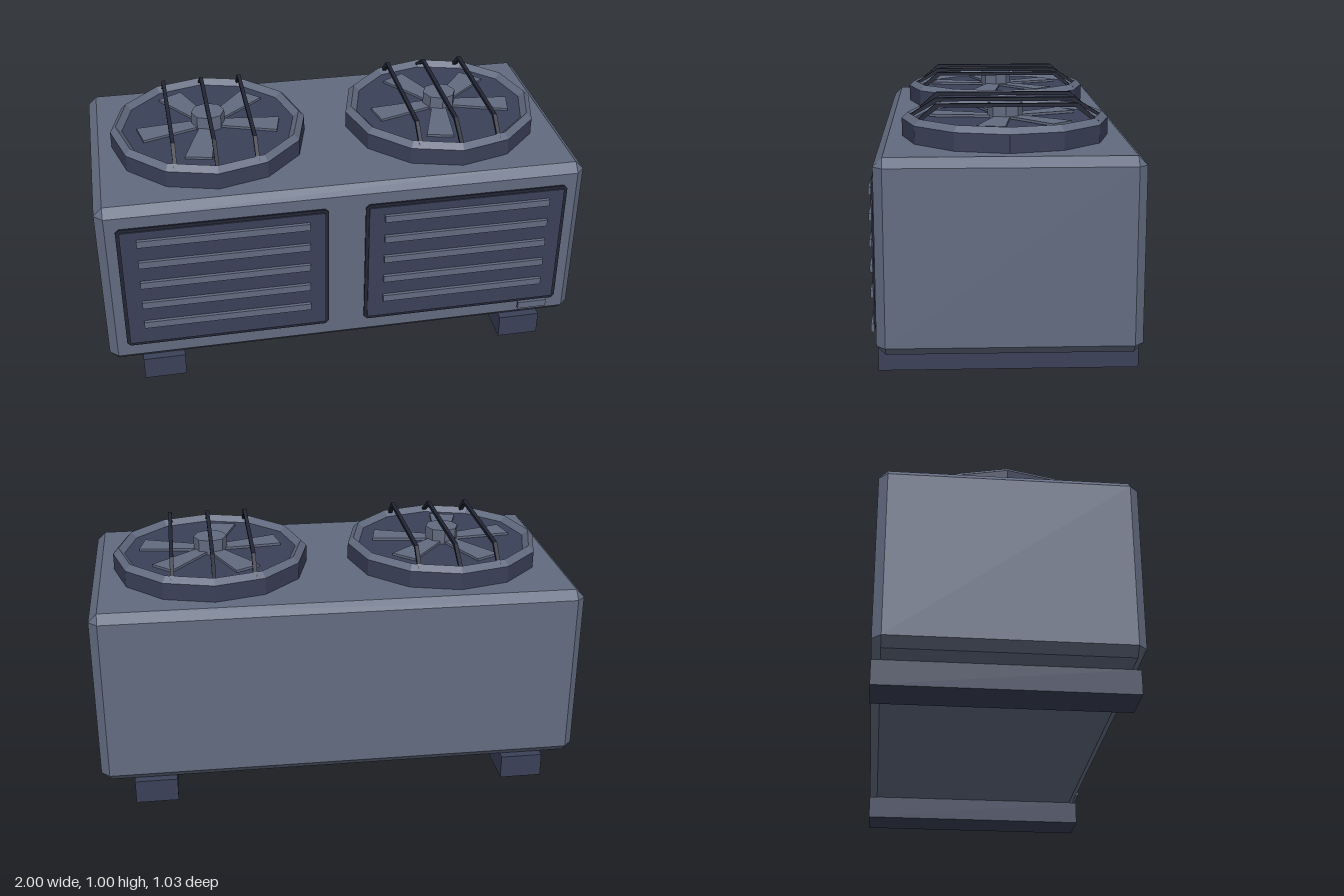
import * as THREE from 'three';
import { ConvexGeometry } from 'three/addons/geometries/ConvexGeometry.js';

const mat = (name, color) => {
  const m = new THREE.MeshStandardMaterial({ color, flatShading: true });
  m.name = name;
  return m;
};

export function createModel() {
  const casing = mat('slate casing', 0x626b80);
  const navy = mat('navy panel', 0x3a4058);
  const dark = mat('dark trim', 0x222534);
  const Z = -0.013; // centre of the casing in depth

  const add = (parent, name, geo, material, x = 0, y = 0, z = 0) => {
    const m = new THREE.Mesh(geo, material);
    m.name = name;
    m.position.set(x, y, z);
    parent.add(m);
    return m;
  };
  const box = (w, h, d) => new THREE.BoxGeometry(w, h, d);

  // Box with every edge chamfered
  const chamferBox = (w, h, d, c) => {
    const pts = [];
    for (const sx of [-1, 1]) for (const sy of [-1, 1]) for (const sz of [-1, 1])
      for (let k = 0; k < 3; k++)
        pts.push(new THREE.Vector3(
          sx * (w / 2 - (k === 0 ? 0 : c)),
          sy * (h / 2 - (k === 1 ? 0 : c)),
          sz * (d / 2 - (k === 2 ? 0 : c))));
    return new ConvexGeometry(pts);
  };

  // Flat polygon thickened along z
  const plate = (pts, depth) => new THREE.ExtrudeGeometry(
    new THREE.Shape(pts.map(p => new THREE.Vector2(...p))), { depth, bevelEnabled: false });
  const cutCorners = (w, h, c, depth) => {
    const a = w / 2, b = h / 2;
    return plate([[-a + c, -b], [a - c, -b], [a, -b + c], [a, b - c],
      [a - c, b], [-a + c, b], [-a, b - c], [-a, -b + c]], depth);
  };

  const root = new THREE.Group();
  root.name = 'outdoorCondenser';

  add(root, 'casing', chamferBox(2, 0.75, 1, 0.035), casing, 0, 0.475, Z);
  for (const s of [-1, 1]) add(root, 'footRail', box(0.175, 0.1, 1), navy, s * 0.777, 0.05, Z);

  // Front grilles with slats
  for (const s of [-1, 1]) {
    const g = new THREE.Group();
    g.name = 'frontGrille';
    g.position.set(s * 0.5, 0.477, 0.48);
    add(g, 'grilleFrame', cutCorners(0.848, 0.576, 0.014, 0.014), dark);
    add(g, 'grillePanel', cutCorners(0.82, 0.548, 0.006, 0.019), navy);
    for (let i = 0; i < 5; i++)
      add(g, 'slat', box(0.692, 0.03, 0.03), casing, 0, 0.3 + i * 0.1 - 0.477, 0.018);
    root.add(g);
  }
  add(root, 'blankPlate', box(0.125, 0.032, 0.014), casing, 0.82, 0.177, 0.504);

  // Guard bar profile: flat top with sloping ends (x runs along the depth)
  const guardBar = (end) => {
    const t = 0.014, f = 0.275;
    return plate([[-end, 0.93], [-end + 0.022, 0.93], [-f + 0.014, 1 - t], [f - 0.014, 1 - t],
      [end - 0.022, 0.93], [end, 0.93], [f, 1], [-f, 1]], 0.016)
      .translate(0, 0, -0.008).rotateY(Math.PI / 2);
  };

  // Top fans
  for (const s of [-1, 1]) {
    const fan = new THREE.Group();
    fan.name = 'fan';
    fan.position.set(s * 0.5, 0, Z);
    add(fan, 'fanHousing', new THREE.CylinderGeometry(0.41, 0.41, 0.08, 12), navy, 0, 0.88, 0);
    add(fan, 'fanRim', new THREE.TorusGeometry(0.386, 0.024, 4, 12).rotateX(Math.PI / 2),
      casing, 0, 0.92, 0);
    add(fan, 'fanHub', new THREE.CylinderGeometry(0.07, 0.07, 0.07, 8), casing, 0, 0.947, 0);
    for (const deg of [-119, -46, 13, 103, 168]) {
      const blade = plate([[0.05, -0.03], [0.295, -0.056], [0.295, 0.056], [0.05, 0.03]], 0.01)
        .rotateX(-Math.PI / 2);
      add(fan, 'fanBlade', blade, casing, 0, 0.922, 0).rotation.y = -deg * Math.PI / 180;
    }
    for (const i of [-1, 0, 1])
      add(fan, 'guardBar', guardBar(i ? 0.355 : 0.385), dark, i * 0.165, 0, 0);
    root.add(fan);
  }
  return root;
}
